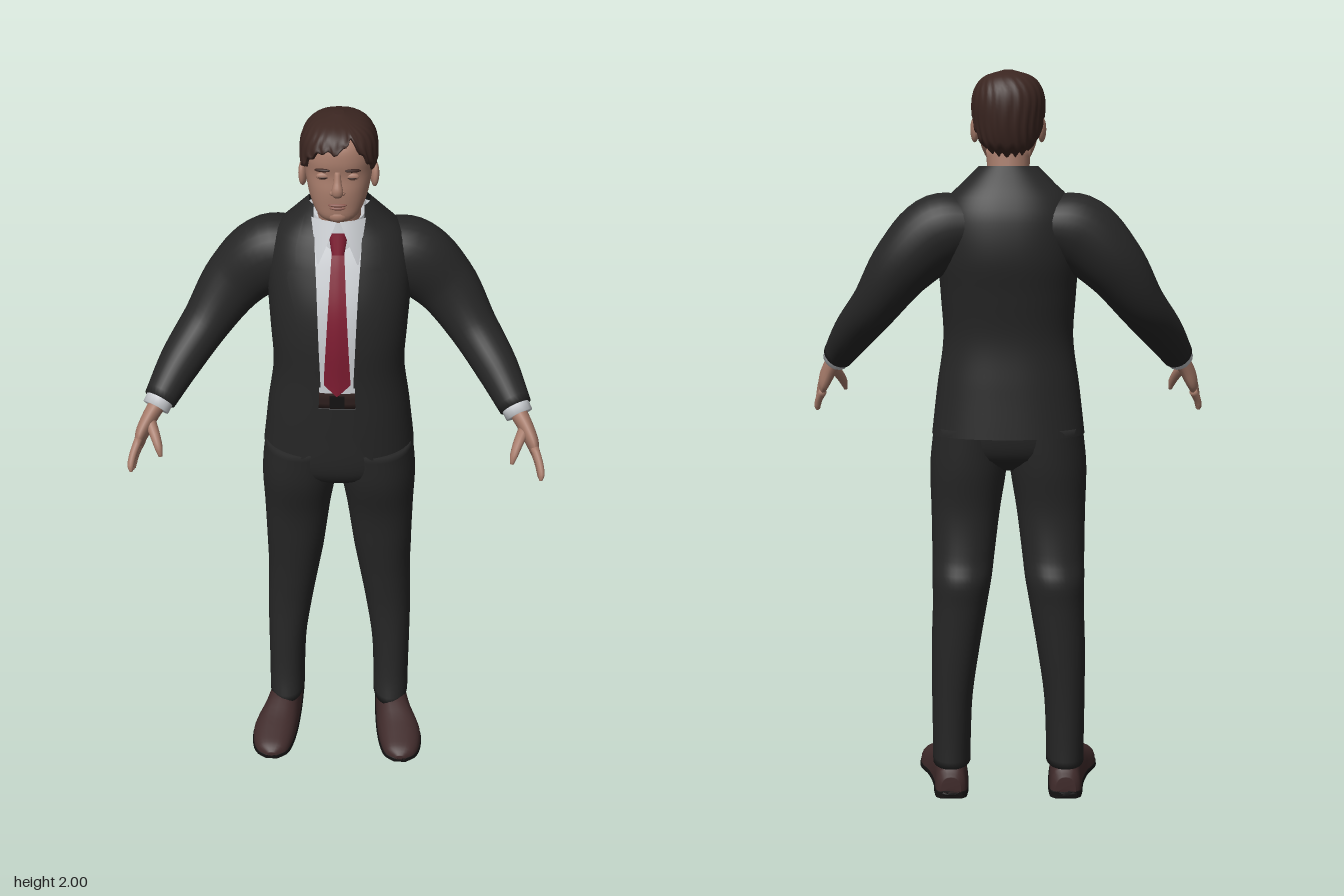
import * as THREE from 'three';

const mat = (name, color) => Object.assign(
  new THREE.MeshStandardMaterial({ color, side: THREE.DoubleSide }), { name });
const M = {
  suit: mat('charcoal suit', 0x262626), shirt: mat('white shirt', 0xc9ccd0), tie: mat('red tie', 0x7d1c31),
  skin: mat('skin', 0xa67b6a), hair: mat('brown hair', 0x3b2621), shoe: mat('brown leather', 0x402b2b),
  sole: mat('black sole', 0x141212), belt: mat('dark belt', 0x2c1e1c), lips: mat('lips', 0x8a5a50),
};
const V = (x, y, z) => new THREE.Vector3(x, y, z);

// smooth interpolation of table rows [key, a, b, ...]
function at(table, y) {
  const n = table.length;
  let i = 0;
  while (i < n - 2 && y > table[i + 1][0]) i++;
  const slope = (k, c) => {
    const a = table[Math.max(k - 1, 0)], b = table[Math.min(k + 1, n - 1)];
    return (b[c] - a[c]) / (b[0] - a[0]);
  };
  const p = table[i], q = table[i + 1], h = q[0] - p[0];
  const t = Math.min(1, Math.max(0, (y - p[0]) / h)), t2 = t * t, t3 = t2 * t;
  return p.slice(1).map((v, k) => v * (2 * t3 - 3 * t2 + 1) + q[k + 1] * (3 * t2 - 2 * t3)
    + h * (slope(i, k + 1) * (t3 - 2 * t2 + t) + slope(i + 1, k + 1) * (t3 - t2)));
}

// skin over rows of points, optionally wrapped around and capped
function loft(name, rows, material, wrap = true, caps = wrap) {
  const pos = [], idx = [], n = rows[0].length, m = rows.length;
  rows.forEach(r => r.forEach(p => pos.push(p.x, p.y, p.z)));
  for (let i = 0; i < m - 1; i++) for (let j = 0; j < (wrap ? n : n - 1); j++) {
    const k = (j + 1) % n, a = i * n + j, b = i * n + k;
    idx.push(a, b, a + n, b, b + n, a + n);
  }
  if (caps) [0, m - 1].forEach(i => {
    const c = rows[i].reduce((s, p) => s.add(p), V(0, 0, 0)).divideScalar(n), id = pos.length / 3;
    pos.push(c.x, c.y, c.z);
    for (let j = 0; j < n; j++) {
      const a = i * n + j, b = i * n + (j + 1) % n;
      i ? idx.push(a, b, id) : idx.push(b, a, id);
    }
  });
  const g = new THREE.BufferGeometry();
  g.setAttribute('position', new THREE.Float32BufferAttribute(pos, 3));
  g.setIndex(idx);
  g.computeVertexNormals();
  const mesh = new THREE.Mesh(g, material);
  mesh.name = name;
  return mesh;
}

// horizontal superellipse ring; gap leaves the front open by that half-width
const spow = (v, e) => Math.sign(v) * Math.abs(v) ** e;
function ring(y, cx, w, zf, zb, gap = 0, n = 2.3, seg = 40) {
  const a0 = gap ? Math.asin(Math.min(1, gap / w) ** (n / 2)) : 0, out = [];
  for (let j = 0; j < seg + (gap ? 1 : 0); j++) {
    const a = a0 + (j / seg) * (2 * Math.PI - 2 * a0);
    out.push(V(cx + w * spow(Math.sin(a), 2 / n), y, (zf + zb) / 2 + (zf - zb) / 2 * spow(Math.cos(a), 2 / n)));
  }
  return out;
}
const steps = (a, b, n) => Array.from({ length: n + 1 }, (_, i) => a + (b - a) * i / n);
const body = (name, table, y0, y1, n, material, off = 0) => loft(name, steps(y0, y1, n).map(y => {
  const [w, f, b] = at(table, y);
  return ring(y, 0, w - off, f - off, b + off);
}), material);
const frontZ = (table, x, y, off = 0) => {
  const [w, f, b] = at(table, y), k = Math.min(1, Math.abs(x) / w);
  return (f + b) / 2 + (f - b) / 2 * (1 - k ** 2.3) ** (1 / 2.3) + off;
};

// thin sheet facing forward between two edge functions
const patch = (name, y0, y1, left, right, z, material, n = 16) => loft(name, steps(y0, y1, n).map(y => {
  const a = Math.min(left(y), right(y)), b = Math.max(left(y), right(y));
  return steps(a, b, 6).map(x => V(x, y, z(x, y)));
}), material, false);

// tube through [x, y, z, rx, ry]; rx lies along the width direction
function sweep(name, pts, s, material, n = 16, width = V(0, 0, 1), seg = 16) {
  const path = new THREE.CatmullRomCurve3(pts.map(p => V(p[0] * s, p[1], p[2])));
  const radii = new THREE.CatmullRomCurve3(pts.map(p => V(p[3], p[4] ?? p[3], 0)));
  return loft(name, steps(0, 1, n).map(t => {
    const c = path.getPoint(t), r = radii.getPoint(t), T = path.getTangent(t);
    const U = width.clone().addScaledVector(T, -width.dot(T)).normalize(), W = T.clone().cross(U);
    return steps(0, 2 * Math.PI, seg).slice(0, seg).map(a => c.clone()
      .addScaledVector(U, r.x * Math.cos(a)).addScaledVector(W, r.y * Math.sin(a)));
  }), material);
}

function blob(name, x, y, z, sx, sy, sz, material) {
  const mesh = new THREE.Mesh(new THREE.SphereGeometry(1, 16, 12), material);
  mesh.position.set(x, y, z);
  mesh.scale.set(sx, sy, sz);
  mesh.name = name;
  return mesh;
}

// tables: height, half-width, front z, back z
const TORSO = [[1.02, .21, .1, -.205], [1.15, .195, .102, -.195], [1.28, .178, .1, -.188], [1.4, .184, .1, -.205],
  [1.5, .19, .085, -.222], [1.6, .188, .048, -.216], [1.66, .165, .018, -.197], [1.7, .125, -.005, -.176], [1.745, .08, -.02, -.148]];
const GAP = [[1.02, .12], [1.05, .075], [1.12, .058], [1.25, .048], [1.4, .052], [1.55, .058], [1.65, .064], [1.745, .066]];
const PELVIS = [[.92, .1, .04, -.1], [.95, .185, .072, -.155], [1, .204, .087, -.178], [1.1, .185, .089, -.183], [1.22, .168, .088, -.17]];
const HEAD = [[1.742, .03, .048, 0], [1.755, .05, .062, -.03], [1.79, .07, .066, -.08], [1.83, .081, .067, -.12],
  [1.87, .087, .062, -.135], [1.91, .087, .065, -.135], [1.95, .075, .055, -.125], [1.98, .045, .02, -.09]];
const HAIR = [[1.76, .066, .066, -.12], [1.8, .085, .07, -.143], [1.86, .095, .073, -.158], [1.92, .098, .074, -.16],
  [1.96, .086, .062, -.145], [1.985, .06, .03, -.115], [2, .012, -.03, -.06]];
// height, inner x, outer x, front z, back z
const LEG = [[.085, .107, .213, .045, -.158], [.16, .106, .213, .022, -.158], [.28, .1, .214, .01, -.163], [.42, .08, .214, .005, -.172],
  [.55, .058, .21, .014, -.18], [.62, .046, .211, .022, -.186], [.67, .04, .211, .028, -.168], [.8, .024, .213, .045, -.156],
  [.93, .004, .216, .078, -.172], [1.04, 0, .205, .088, -.18]];
// z, centre x, half-width, height
const SHOE = [[-.155, .16, .028, .06], [-.14, .16, .042, .09], [-.06, .163, .047, .11], [.02, .173, .054, .103],
  [.09, .189, .064, .078], [.15, .194, .058, .06], [.19, .194, .042, .047], [.21, .194, .014, .032]];

function hairCap() {
  // hairline height by angle from the front; a parting opens on the left brow
  const line = [[0, 1.93], [.35, 1.935], [.8, 1.905], [1.15, 1.87], [1.6, 1.87], [2, 1.81], [2.5, 1.78], [Math.PI, 1.772]];
  const rows = steps(0, 1, 24).map((t, i) => Array.from({ length: 96 }, (_, j) => {
    const a = j / 96 * 2 * Math.PI, d = a > Math.PI ? a - 2 * Math.PI : a;
    const base = at(line, Math.abs(d))[0] + .03 * Math.exp(-(((d - .35) / .22) ** 2)) + .006 * Math.sin(j * 1.3);
    const y = base + (2 - base) * Math.sin(t * Math.PI / 2);
    const [w, f, b] = at(HAIR, y), tuft = 1 + (1 - t) * .022 * Math.sin(j * 1.57 + i * .35 + 2 * Math.sin(i * .4));
    const k = i ? tuft : .85;
    return V(w * k * spow(Math.sin(a), .87), y, (f + b) / 2 + (f - b) / 2 * k * spow(Math.cos(a), .87));
  }));
  return loft('hair', rows, M.hair);
}

export function createModel() {
  const g = new THREE.Group();
  g.name = 'man in suit';
  const gap = y => at(GAP, y)[0];

  // jacket, shirt, belt and trouser seat
  g.add(loft('jacket', steps(1.02, 1.745, 44).map(y => {
    const [w, f, b] = at(TORSO, y);
    return ring(y, 0, w, f, b, gap(y), 2.3, 60);
  }), M.suit, false));
  g.add(body('shirt', TORSO, 1.2, 1.71, 30, M.shirt, .012));
  g.add(body('belt', TORSO, 1.205, 1.25, 3, M.belt, .007));
  g.add(body('trouserSeat', PELVIS, .92, 1.22, 16, M.suit));
  const buckle = new THREE.Mesh(new THREE.BoxGeometry(.04, .036, .006), M.sole);
  buckle.position.set(0, 1.228, .097);
  buckle.name = 'buckle';
  g.add(buckle);

  // tie
  const half = y => y < 1.285 ? (y - 1.25) / .035 * .036 + .001 : .036 - (y - 1.285) / .365 * .02;
  g.add(patch('tie', 1.25, 1.65, y => -half(y), half, (x, y) => frontZ(TORSO, x, y, .004) - Math.abs(x) * .12, M.tie, 24));
  const knot = new THREE.Mesh(new THREE.CylinderGeometry(.025, .016, .055, 12), M.tie);
  knot.position.set(0, 1.663, .02);
  knot.rotation.x = -.35;
  knot.scale.z = .6;
  knot.name = 'tieKnot';
  g.add(knot);

  // neck and collar
  g.add(sweep('neck', [[0, 1.62, -.07, .058], [0, 1.7, -.06, .056], [0, 1.79, -.045, .06]], 1, M.skin, 8));
  g.add(loft('collar', steps(0, 1, 5).map(t => ring(0, 0, .08 - .01 * t, .016 - .016 * t, -.145 + .01 * t)
    .map(p => p.setY(1.64 + t * (.075 - p.z * .22)))), M.shirt, true, false));

  // head and face
  g.add(body('head', HEAD, 1.742, 1.98, 28, M.skin), hairCap());
  g.add(sweep('nose', [[0, 1.885, .058, .008], [0, 1.86, .066, .01], [0, 1.838, .073, .015, .013], [0, 1.825, .066, .012, .009]],
    1, M.skin, 10, V(1, 0, 0)));
  g.add(blob('chin', 0, 1.763, .052, .026, .018, .016, M.skin));
  g.add(blob('upperLip', 0, 1.798, .065, .024, .005, .007, M.lips), blob('lowerLip', 0, 1.789, .064, .02, .005, .007, M.lips));

  for (const s of [1, -1]) {
    const side = new THREE.Group();
    side.name = s > 0 ? 'leftSide' : 'rightSide';
    g.add(side);

    // eyes, brows and ears
    const face = y => frontZ(HEAD, .036, y);
    side.add(blob('eyelid', s * .036, 1.872, face(1.872) - .002, .018, .01, .007, M.skin));
    side.add(blob('eye', s * .036, 1.87, face(1.87) + .001, .013, .0035, .005, M.hair));
    const brow = blob('brow', s * .038, 1.89, face(1.89), .021, .0045, .006, M.hair);
    brow.rotation.set(0, s * .3, -s * .08);
    side.add(brow, blob('nostril', s * .012, 1.831, .064, .008, .007, .009, M.skin));
    const ear = blob('ear', s * .091, 1.842, -.03, .011, .034, .021, M.skin);
    ear.rotation.set(-.15, s * .25, 0);
    side.add(ear);

    // lapel and shirt collar wing
    const edge = [[1.28, .05], [1.4, .088], [1.52, .118], [1.585, .132], [1.6, .112], [1.65, .11], [1.72, .09]];
    side.add(patch('lapel', 1.28, 1.72, y => s * (gap(y) - .004), y => s * at(edge, y)[0],
      (x, y) => frontZ(TORSO, x, y, .009), M.suit, 30));
    side.add(patch('collarWing', 1.615, 1.725, y => s * (.05 - (y - 1.615) * .42), y => s * (.054 + (y - 1.615) * .15),
      (x, y) => .054 - (y - 1.61) * .36 - x * x * 5, M.shirt));

    // arm, cuff and hand
    side.add(sweep('sleeve', [[.09, 1.585, -.11, .085, .08], [.185, 1.568, -.11, .092, .104], [.28, 1.485, -.11, .08, .088],
      [.36, 1.375, -.07, .07, .067], [.425, 1.295, .005, .06, .058], [.478, 1.22, .088, .044, .044]], s, M.suit, 32, undefined, 28));
    side.add(sweep('cuff', [[.47, 1.232, .077, .039], [.488, 1.205, .103, .038]], s, M.shirt, 2));
    const across = V(0, .6, .8);
    side.add(sweep('palm', [[.48, 1.217, .095, .028, .024], [.505, 1.18, .12, .036, .021], [.523, 1.145, .14, .043, .018],
      [.532, 1.118, .155, .036, .011]], s, M.skin, 12, across));
    for (let k = -1.5; k < 2; k++) {
      const y = 1.13 + k * .013, z = .15 + k * .0175, len = k < -1 ? .8 : 1;
      side.add(sweep('finger', [[.528, y, z, .0115], [.541, y - .03 * len, z + .02 + k * .004, .0105],
        [.547, y - .055 * len, z + .034 + k * .008, .009], [.546, y - .07 * len, z + .038 + k * .01, .004]], s, M.skin, 9, across, 10));
    }
    side.add(sweep('thumb', [[.502, 1.18, .13, .016], [.485, 1.155, .165, .014], [.474, 1.13, .187, .011], [.469, 1.108, .196, .005]],
      s, M.skin, 9, across, 10));

    // trouser leg
    side.add(loft('trouserLeg', steps(.085, 1.04, 50).map(y => {
      const [i, o, f, b] = at(LEG, y);
      return ring(y, s * (i + o) / 2, (o - i) / 2, f, b, 0, 2.2);
    }), M.suit));

    // shoe upper, welt sole and heel
    const slice = (z, grow, y0, h) => {
      const [cx, w, top] = at(SHOE, z);
      return steps(0, 2 * Math.PI, 24).slice(0, 24).map(a => V(s * cx + (w + grow) * spow(Math.cos(a), h ? .4 : .8),
        y0 + (h || top - y0) * Math.max(0, Math.sin(a)) ** (h ? .3 : .8), z));
    };
    const shoeZ = steps(0, 1, 28).map(t => .0275 - .1825 * Math.cos(t * Math.PI));
    side.add(loft('shoe', shoeZ.map(z => slice(z, 0, .018, 0)), M.shoe));
    side.add(loft('sole', shoeZ.map(z => slice(z, .003, .008, .014)), M.sole));
    side.add(loft('heel', steps(-.155, -.06, 8).map(z => slice(z, .001, 0, .018)), M.sole));
  }
  return g;
}
